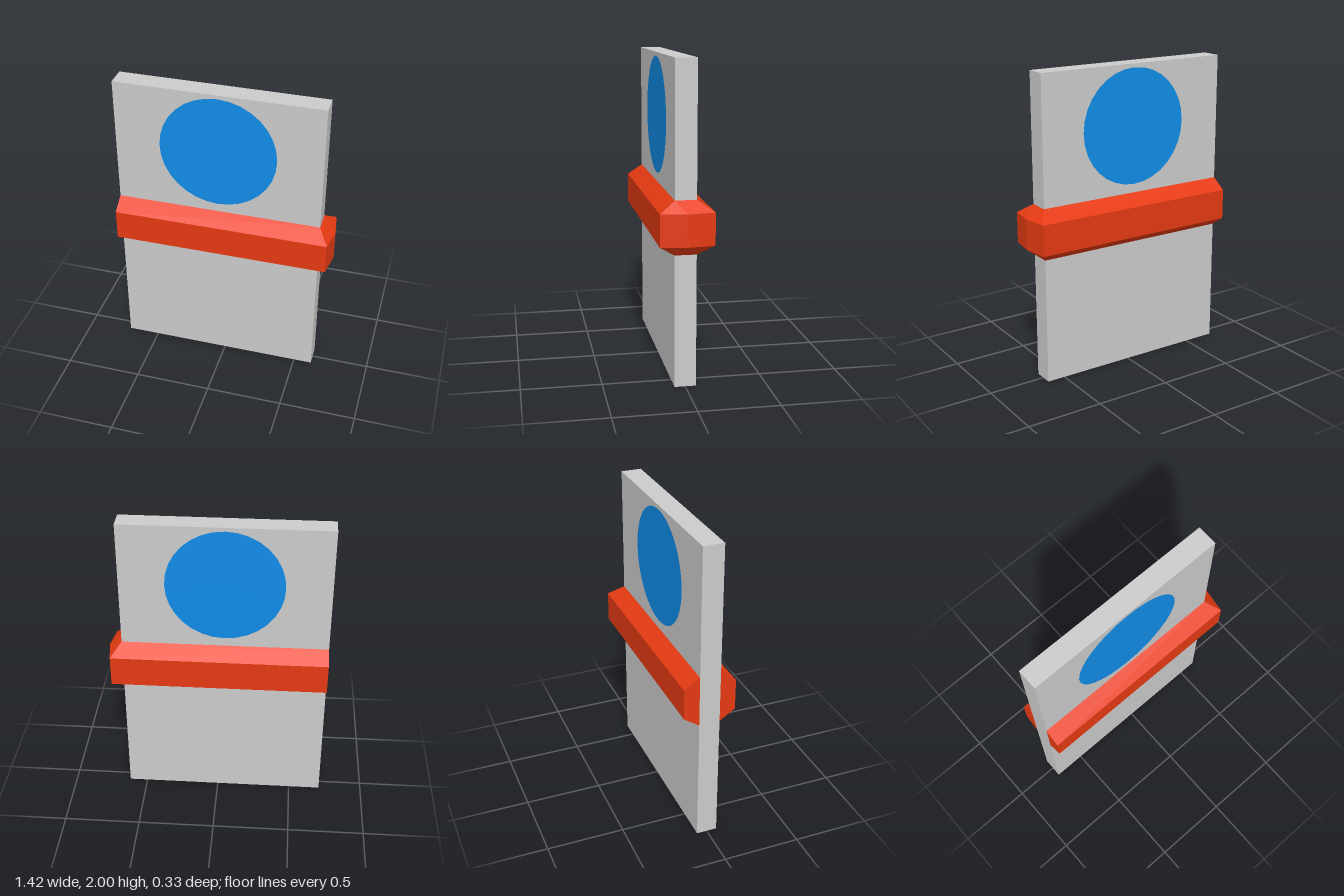
import * as THREE from 'three';

const material = (color, extra = {}) => new THREE.MeshStandardMaterial({ color, ...extra });

// Bevelled band wrapped round one edge of the slab: one quarter, mirrored in y and z
function bandGeometry() {
  const MID = 1, LEFT = -0.71, INNER_H = 0.167, OUTER_H = 0.1;
  const inner = { end: [LEFT, 0.067], corner: [0.62, 0.067], mid: [0.62, 0] };
  const outer = { end: [LEFT, 0.167], corner: [0.685, 0.167], mid: [0.71, 0] };
  const at = ([x, z], h) => [x, h, z];
  const I = (k) => at(inner[k], INNER_H);
  const O = (k) => at(outer[k], OUTER_H);
  const I0 = (k) => at(inner[k], 0);
  const O0 = (k) => at(outer[k], 0);
  const faces = [
    [O('end'), O('corner'), I('corner'), I('end')],    // long bevel
    [O('corner'), O('mid'), I('corner')],              // folded bevel at the edge
    [I('corner'), O('mid'), I('mid')],
    [O0('end'), O0('corner'), O('corner'), O('end')],  // outer wall
    [O0('corner'), O0('mid'), O('mid'), O('corner')],  // wrap-round wall
    [I0('end'), O0('end'), O('end'), I('end')],        // end cap
  ];
  const positions = [];
  for (const sy of [1, -1]) {
    for (const sz of [1, -1]) {
      for (const face of faces) {
        const pts = face.map(([x, h, z]) => [x, MID + sy * h, sz * z]);
        if (sy * sz < 0) pts.reverse();
        for (let i = 1; i < pts.length - 1; i++) positions.push(...pts[0], ...pts[i], ...pts[i + 1]);
      }
    }
  }
  const geometry = new THREE.BufferGeometry();
  geometry.setAttribute('position', new THREE.Float32BufferAttribute(positions, 3));
  geometry.computeVertexNormals();
  return geometry;
}

export function createModel() {
  const model = new THREE.Group();
  const add = (name, geometry, mat) => {
    const mesh = new THREE.Mesh(geometry, mat);
    mesh.name = name;
    model.add(mesh);
    return mesh;
  };

  // Upright slab
  add('slab', new THREE.BoxGeometry(1.33, 2, 0.134), material(0xcccccc)).position.set(-0.045, 1, 0);

  // Band across the middle
  add('band', bandGeometry(), material(0xe53a12, { flatShading: true }));

  // Flat disc on each face
  const disc = new THREE.CircleGeometry(0.376, 32);
  const blue = material(0x108ce8);
  add('frontDisc', disc, blue).position.set(-0.045, 1.6, 0.0685);
  const back = add('backDisc', disc, blue);
  back.position.set(-0.045, 1.6, -0.0685);
  back.rotation.y = Math.PI;

  return model;
}
